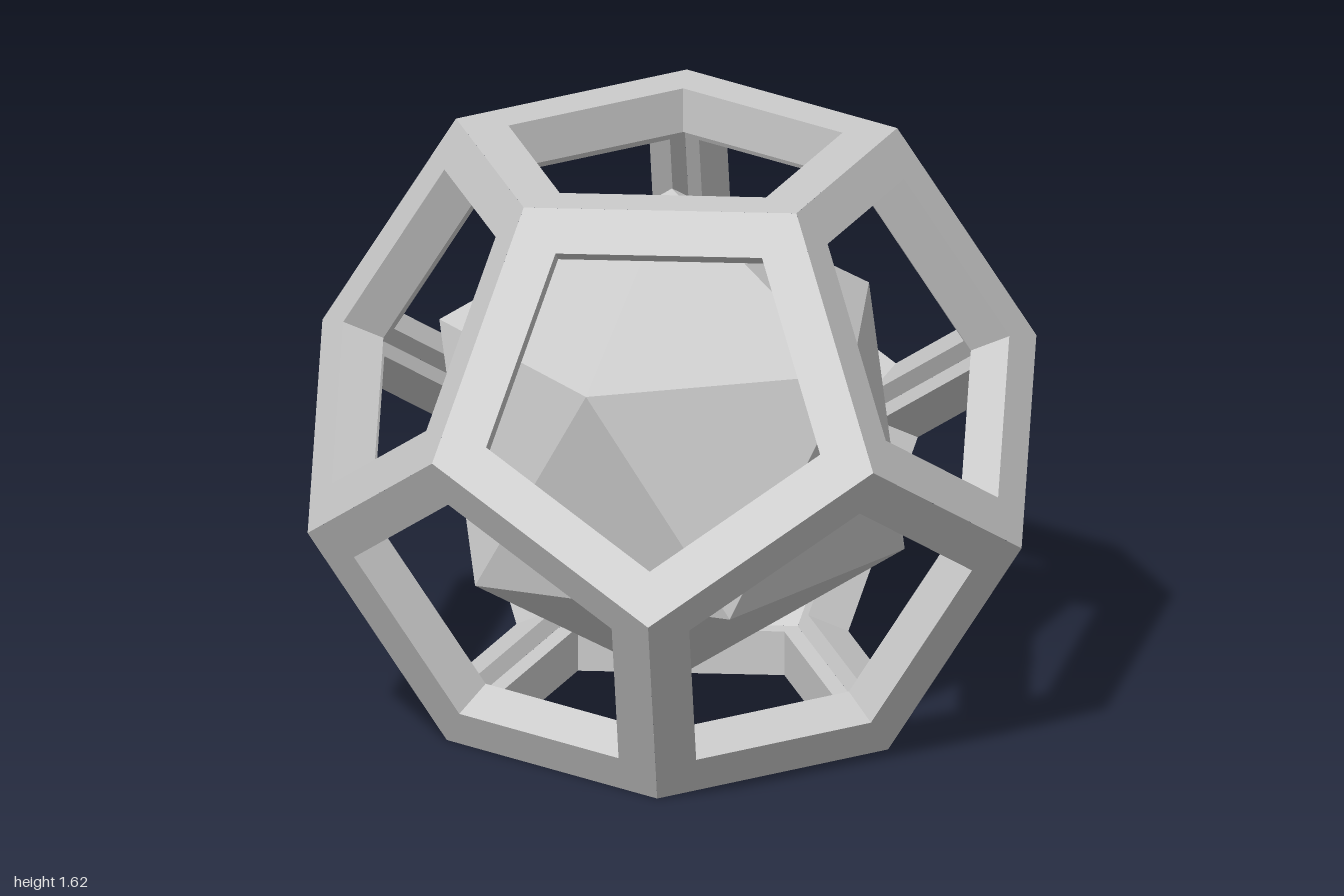
import * as THREE from 'three';

const INRADIUS = 0.809;     // centre to face of the dodecahedron
const FACE_RADIUS = 0.618;  // corner radius of each pentagon
const DEPTH = 0.123;        // frame thickness
const HOLE = 0.757;         // window size relative to the face

const material = new THREE.MeshStandardMaterial({ color: 0xcccccc, flatShading: true });

// One pentagonal frame facing +y, mitred so neighbouring frames meet inside and out
function pentagonFrame() {
  const hole = FACE_RADIUS * HOLE;
  const inner = FACE_RADIUS * (1 - DEPTH / INRADIUS);
  const profile = [
    [FACE_RADIUS, 0], [hole, 0], [hole, -DEPTH], [inner, -DEPTH],
  ].map(([r, y]) => new THREE.Vector2(r, y));
  const geometry = new THREE.LatheGeometry(profile, 5).toNonIndexed();
  geometry.computeVertexNormals();
  return geometry.translate(0, INRADIUS, 0);
}

// Six frames: a cap and the five faces leaning away from it
function halfCage(name) {
  const half = new THREE.Group();
  half.name = name;
  const cap = new THREE.Mesh(pentagonFrame(), material);
  cap.name = 'capFrame';
  half.add(cap);
  for (let i = 0; i < 5; i++) {
    const geometry = pentagonFrame()
      .rotateX(Math.atan(2))
      .rotateY((Math.PI / 5) * (1 + 2 * i));
    const side = new THREE.Mesh(geometry, material);
    side.name = `sideFrame${i + 1}`;
    half.add(side);
  }
  return half;
}

export function createModel() {
  const model = new THREE.Group();
  model.name = 'nestedPolyhedra';

  // Open dodecahedron cage, the lower half being the upper one turned over
  const cage = new THREE.Group();
  cage.name = 'dodecahedronCage';
  const lower = halfCage('lowerCage');
  lower.rotation.x = Math.PI;
  cage.add(halfCage('upperCage'), lower);
  cage.position.y = INRADIUS;

  // Solid icosahedron core standing on a corner
  const golden = (1 + Math.sqrt(5)) / 2;
  const core = new THREE.Mesh(
    new THREE.IcosahedronGeometry(0.693, 0).rotateZ(-Math.atan(1 / golden)), material);
  core.name = 'icosahedronCore';
  core.position.y = INRADIUS;

  model.add(cage, core);
  return model;
}
